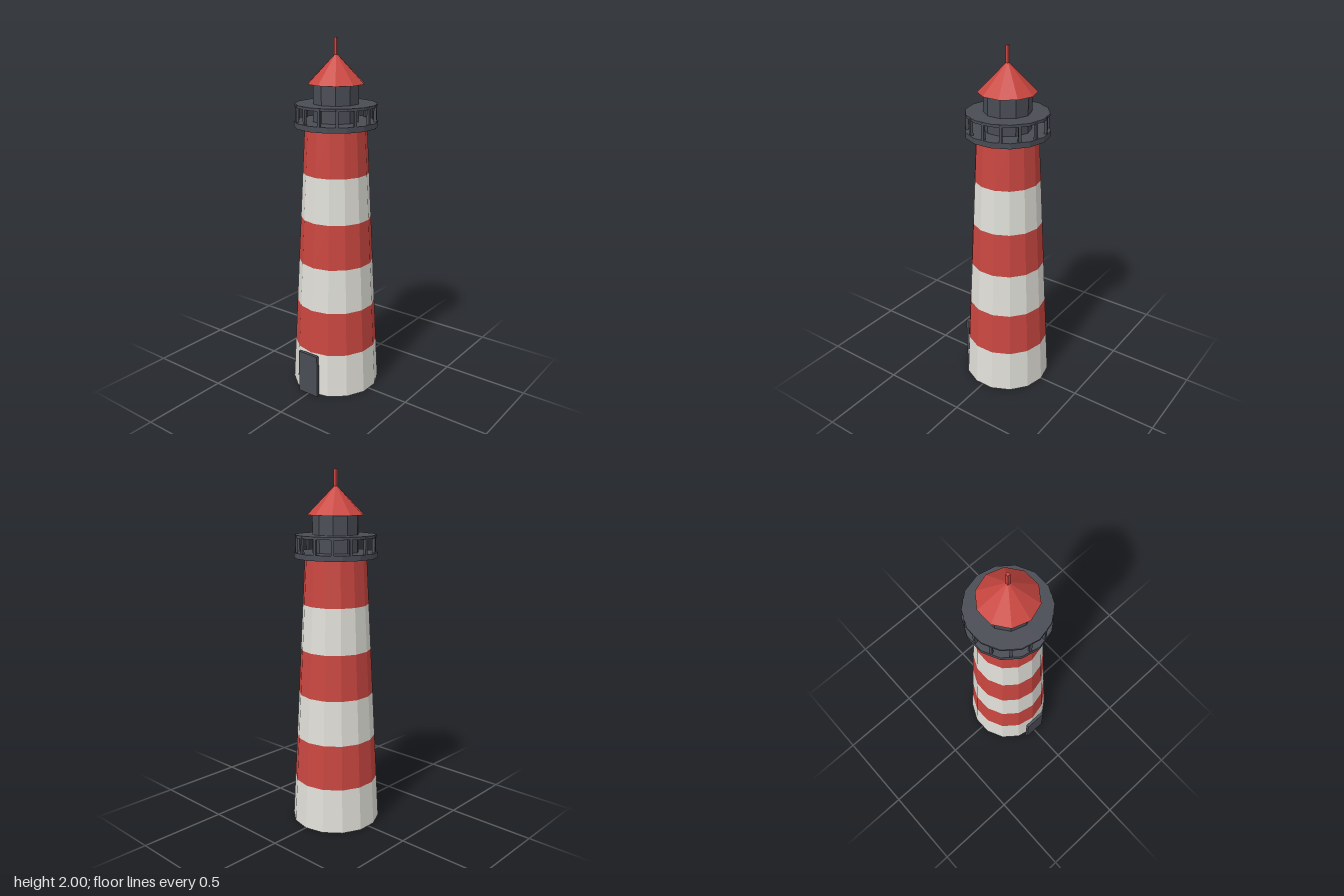
import * as THREE from 'three';

const material = (name, color) => {
  const m = new THREE.MeshStandardMaterial({ color, flatShading: true });
  m.name = name;
  return m;
};

export function createModel() {
  const red = material('red paint', 0xc94640);
  const white = material('white paint', 0xe0dfd8);
  const dark = material('dark metal', 0x4a4c55);

  const model = new THREE.Group();
  model.name = 'lighthouse';
  const body = new THREE.Group();
  body.name = 'body';
  body.position.z = -0.008; // the door sticks out in front
  model.add(body);

  const add = (name, geometry, mat, x, y, z) => {
    const mesh = new THREE.Mesh(geometry, mat);
    mesh.name = name;
    mesh.position.set(x, y, z);
    body.add(mesh);
    return mesh;
  };
  // Faceted drum standing between two heights
  const drum = (name, mat, rBottom, rTop, y0, y1, sides, open = false) =>
    add(name, new THREE.CylinderGeometry(rTop, rBottom, y1 - y0, sides, 1, open), mat, 0, (y0 + y1) / 2, 0);

  // Tapered tower of alternating bands
  const SIDES = 14, BANDS = 6, HEIGHT = 1.53;
  const radius = (t) => THREE.MathUtils.lerp(0.2525, 0.171, t);
  for (let i = 0; i < BANDS; i++) {
    const a = i / BANDS, b = (i + 1) / BANDS;
    drum('towerBand' + (i + 1), i % 2 ? red : white, radius(a), radius(b), a * HEIGHT, b * HEIGHT, SIDES);
  }

  // Door slab
  add('door', new THREE.BoxGeometry(0.132, 0.255, 0.018), dark, 0, 0.1275, 0.2595);

  // Gallery deck, posts and the plate that forms the rail
  drum('galleryDeck', dark, 0.23, 0.23, HEIGHT, 1.56, SIDES);
  drum('galleryRail', dark, 0.225, 0.225, 1.64, 1.655, SIDES);
  for (let i = 0; i < SIDES; i++) {
    const a = (i / SIDES) * Math.PI * 2;
    const post = add('railPost', new THREE.BoxGeometry(0.015, 0.095, 0.015), dark,
      Math.cos(a) * 0.2145, 1.6025, Math.sin(a) * 0.2145);
    post.rotation.y = -a;
  }

  // Lantern room, roof and mast
  drum('lanternRoom', dark, 0.129, 0.129, 1.56, 1.76, 10);
  drum('roof', red, 0.158, 0, 1.76, 1.92, 10);
  add('mast', new THREE.BoxGeometry(0.016, 0.11, 0.016), red, 0, 1.945, 0);

  return model;
}
